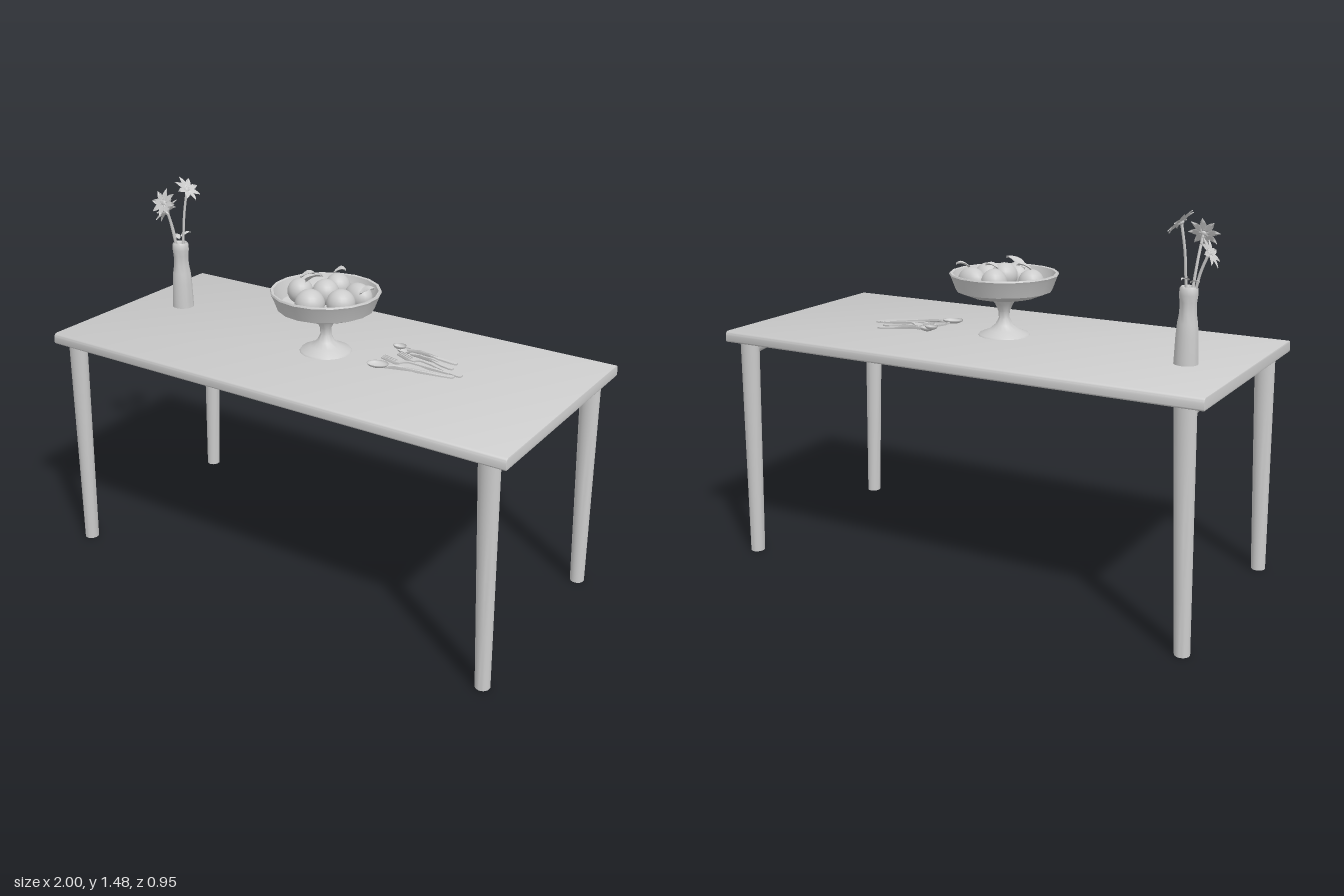
import * as THREE from 'three';
import { toCreasedNormals } from 'three/addons/utils/BufferGeometryUtils.js';

const grey = new THREE.MeshStandardMaterial({ color: 0xcccccc, side: THREE.DoubleSide });
const TOP = 0.937; // height of the table surface
const V = (x, y, z) => new THREE.Vector3(x, y, z);

function add(parent, name, geometry, x = 0, y = 0, z = 0) {
  const mesh = new THREE.Mesh(geometry, grey);
  mesh.name = name;
  mesh.position.set(x, y, z);
  parent.add(mesh);
  return mesh;
}

// Moves every vertex by a rule, then refreshes the normals
function warp(geometry, rule) {
  const p = geometry.attributes.position, v = V(0, 0, 0);
  for (let i = 0; i < p.count; i++) {
    rule(v.fromBufferAttribute(p, i));
    p.setXYZ(i, v.x, v.y, v.z);
  }
  return toCreasedNormals(geometry, 0.7);
}

function lathe(points, sides) {
  return toCreasedNormals(new THREE.LatheGeometry(points.map(([r, y]) => new THREE.Vector2(r, y)), sides), 0.75);
}

function table() {
  const g = new THREE.Group();
  g.name = 'table';
  // Board: profile across the depth with softened long edges
  const s = new THREE.Shape();
  const a = 0.474, b = 0.892, t = TOP;
  s.moveTo(-a + 0.01, b);
  s.lineTo(a - 0.01, b);
  s.quadraticCurveTo(a, b, a, b + 0.012);
  s.lineTo(a - 0.001, t - 0.018);
  s.quadraticCurveTo(a - 0.002, t, a - 0.02, t);
  s.lineTo(-a + 0.02, t);
  s.quadraticCurveTo(-a + 0.002, t, -a + 0.001, t - 0.018);
  s.lineTo(-a, b + 0.012);
  s.quadraticCurveTo(-a, b, -a + 0.01, b);
  const board = new THREE.ExtrudeGeometry(s, { depth: 1.992, curveSegments: 6,
    bevelEnabled: true, bevelSize: 0.004, bevelOffset: -0.004, bevelThickness: 0.004, bevelSegments: 2 });
  board.translate(0, 0, -0.996).rotateY(Math.PI / 2);
  add(g, 'tableTop', toCreasedNormals(board, 0.6));

  for (const sx of [-1, 1]) {
    for (const sz of [-1, 1]) {
      // Tapered oval leg, leaning slightly outwards to the foot
      const leg = warp(new THREE.CylinderGeometry(1, 1, 1, 20, 4), (v) => {
        const k = v.y + 0.5;
        v.set(sx * THREE.MathUtils.lerp(0.941, 0.918, k) + v.x * THREE.MathUtils.lerp(0.028, 0.04, k),
          k * 0.895, sz * THREE.MathUtils.lerp(0.418, 0.423, k) + v.z * THREE.MathUtils.lerp(0.029, 0.032, k));
      });
      add(g, 'leg', leg);
    }
    // Round rail between the legs, deeper where it meets them
    const rail = warp(new THREE.CylinderGeometry(1, 1, 0.84, 20, 28).rotateX(Math.PI / 2), (v) => {
      const flare = Math.max(0, (Math.abs(v.z) - 0.28) / 0.12);
      const drop = 0.014 * flare + 0.012 * Math.max(0, flare - 0.75);
      v.set(sx * 0.918 + v.x * 0.036, v.y < 0 ? 0.882 + v.y * (0.025 + drop) : 0.882 + v.y * 0.012, v.z);
    });
    add(g, 'endRail', rail);
  }
  return g;
}

// Pointed, gently arched leaf along +x
function leafGeometry(length, width, arch) {
  return warp(new THREE.PlaneGeometry(1, 1, 8, 4).rotateX(-Math.PI / 2), (v) => {
    const k = v.x + 0.5;
    v.set(k * length, arch * Math.sin(k * Math.PI * 0.75) + Math.abs(v.z) * width * 0.3,
      v.z * width * Math.sin(Math.PI * Math.pow(k, 0.8)));
  });
}

function fruitBowl() {
  const g = new THREE.Group();
  g.name = 'fruitBowl';
  g.position.set(0.006, 0, 0.017);
  add(g, 'pedestalBowl', lathe([[0, 0.937], [0.102, 0.937], [0.098, 0.943], [0.06, 0.958], [0.035, 0.978],
    [0.021, 1.005], [0.022, 1.03], [0.035, 1.06], [0.058, 1.088], [0.13, 1.092], [0.187, 1.115], [0.206, 1.165],
    [0.213, 1.178], [0.21, 1.184], [0.2, 1.182], [0.192, 1.16], [0.176, 1.125], [0.125, 1.106], [0, 1.1]], 18));
  // Fruit: x, y, z, then radii
  const fruits = [
    [-0.018, 1.162, -0.11, 0.05, 0.052, 0.05], [0.1, 1.155, -0.075, 0.064, 0.05, 0.046],
    [-0.12, 1.155, -0.003, 0.05, 0.05, 0.05], [-0.003, 1.172, -0.004, 0.052, 0.05, 0.052],
    [0.09, 1.156, 0.033, 0.055, 0.053, 0.055], [-0.006, 1.155, 0.098, 0.057, 0.055, 0.057],
    [-0.095, 1.145, 0.08, 0.045, 0.045, 0.045], [-0.1, 1.145, -0.085, 0.045, 0.045, 0.045],
  ];
  for (const [x, y, z, a, b, c] of fruits.slice(0, 6)) {
    const f = add(g, 'fruit', new THREE.SphereGeometry(1, 20, 14), x, y, z);
    f.scale.set(a, b, c);
    if (a > 0.06) f.rotation.y = -0.35;
  }
  // Leaves: x, y, z, turn, tilt, length
  for (const [x, y, z, turn, tilt, len] of [
    [-0.085, 1.198, 0.01, -0.1, 0.3, 0.095], [-0.125, 1.2, -0.01, 0.5, 0.1, 0.06],
    [0.145, 1.185, -0.01, 0.7, 0.1, 0.06], [-0.035, 1.21, -0.105, 0.4, 0.05, 0.05]]) {
    const l = add(g, 'fruitLeaf', leafGeometry(len, 0.055, 0.018), x, y, z);
    l.rotation.set(0, turn, tilt);
  }
  return g;
}

function flower(centre, normal) {
  const g = new THREE.Group();
  g.name = 'flower';
  g.position.copy(centre);
  g.quaternion.setFromUnitVectors(V(0, 1, 0), normal.clone().normalize());
  add(g, 'flowerHeart', new THREE.SphereGeometry(0.011, 10, 8)).scale.y = 0.6;
  for (let i = 0; i < 8; i++) {
    const petal = add(g, 'petal', leafGeometry(0.054, 0.024, 0.004));
    petal.rotation.y = i * Math.PI / 4;
    petal.translateX(0.006);
  }
  return g;
}

function flowerVase() {
  const g = new THREE.Group();
  g.name = 'flowerVase';
  const x = -0.783, z = -0.073;
  add(g, 'vase', lathe([[0, 0.937], [0.045, 0.937], [0.044, 0.96], [0.041, 1.04], [0.037, 1.085], [0.031, 1.12],
    [0.031, 1.16], [0.034, 1.185], [0.033, 1.207], [0.028, 1.215], [0.023, 1.208], [0.024, 1.16], [0, 1.1]], 18), x, 0, z);
  // Flowers: centre and facing direction, each on a bent stem
  const blooms = [
    [V(-0.757, 1.437, -0.1), V(0.7, 0.7, 0)],
    [V(-0.853, 1.337, -0.08), V(-0.86, 0.5, 0)],
    [V(-0.805, 1.392, -0.01), V(0, 0.43, 0.9)],
  ];
  blooms.forEach(([c, n]) => {
    const foot = V(x, 1.12, z);
    const path = new THREE.CatmullRomCurve3([foot, foot.clone().lerp(c, 0.3), foot.clone().lerp(c, 0.7).addScaledVector(n, -0.008), c]);
    add(g, 'stem', new THREE.TubeGeometry(path, 12, 0.0055, 6));
    g.add(flower(c, n));
  });
  // Leaves by the vase mouth
  for (const [px, py, pz, turn] of [[-0.785, 1.235, -0.08, 1.4], [-0.785, 1.225, -0.07, 2.6]])
    add(g, 'stemLeaf', leafGeometry(0.055, 0.024, 0.012), px, py, pz).rotation.y = turn;
  return g;
}

// Cutlery runs from a head tip to a handle end, given as x and z
function cutlery(name, fork, [x0, z0], [x1, z1], size, lift) {
  const g = new THREE.Group();
  g.name = name;
  const len = Math.hypot(x1 - x0, z1 - z0);
  // Half outline: position along the length and half width
  const handle = [[0.105, 0.005], [0.15, 0.005], [0.19, 0.007], [len - 0.05, 0.009], [len - 0.012, 0.011], [len, 0.006]];
  const half = (fork ? [[0.055, 0.019], [0.075, 0.017], [0.088, 0.009]] : [[0.06, 0.006]]).map(([u, w]) => [u, w * size]).concat(handle);
  const pts = half.concat(half.map(([u, w]) => [u, -w]).reverse());
  if (fork) // four tines
    for (let i = 0; i < 4; i++) {
      const w = (-0.019 + i * 0.0107) * size;
      pts.push([0.055, w], [0, w + 0.001], [0, w + 0.005 * size], [0.055, w + 0.006 * size]);
    }
  const shape = new THREE.Shape(pts.map(([u, w]) => new THREE.Vector2(u, w)));
  const body = new THREE.ExtrudeGeometry(shape, { depth: 0.006, bevelEnabled: false }).rotateX(-Math.PI / 2);
  // Raised tip, dipped bowl, arched neck, low handle end
  const rise = (u) => 0.014 * Math.max(0, 1 - u / 0.05) + 0.012 * Math.exp(-(((u - 0.12) / 0.05) ** 2)) + lift * (1 - u / len);
  add(g, 'handle', warp(body, (v) => { v.y += rise(v.x); }));
  if (!fork) {
    const bowl = new THREE.SphereGeometry(1, 18, 8, 0, Math.PI * 2, Math.PI / 2, Math.PI / 2);
    bowl.scale(0.042 * size, 0.016, 0.031 * size);
    add(g, 'spoonBowl', bowl, 0.04 * size, 0.017 + lift, 0);
  }
  g.position.set(x0, TOP, z0);
  g.rotation.y = -Math.atan2(z1 - z0, x1 - x0);
  return g;
}

export function createModel() {
  const model = new THREE.Group();
  model.name = 'diningTable';
  model.add(table(), fruitBowl(), flowerVase(),
    cutlery('smallSpoon', false, [0.255, -0.112], [0.51, -0.08], 0.75, 0.006),
    cutlery('teaSpoon', false, [0.232, -0.115], [0.5, -0.132], 0.65, 0.016),
    cutlery('upperFork', true, [0.29, -0.062], [0.57, -0.033], 1, 0.008),
    cutlery('lowerFork', true, [0.25, -0.008], [0.57, -0.042], 1, 0.004),
    cutlery('largeSpoon', false, [0.232, 0.076], [0.55, -0.014], 1, 0.006));
  return model;
}
